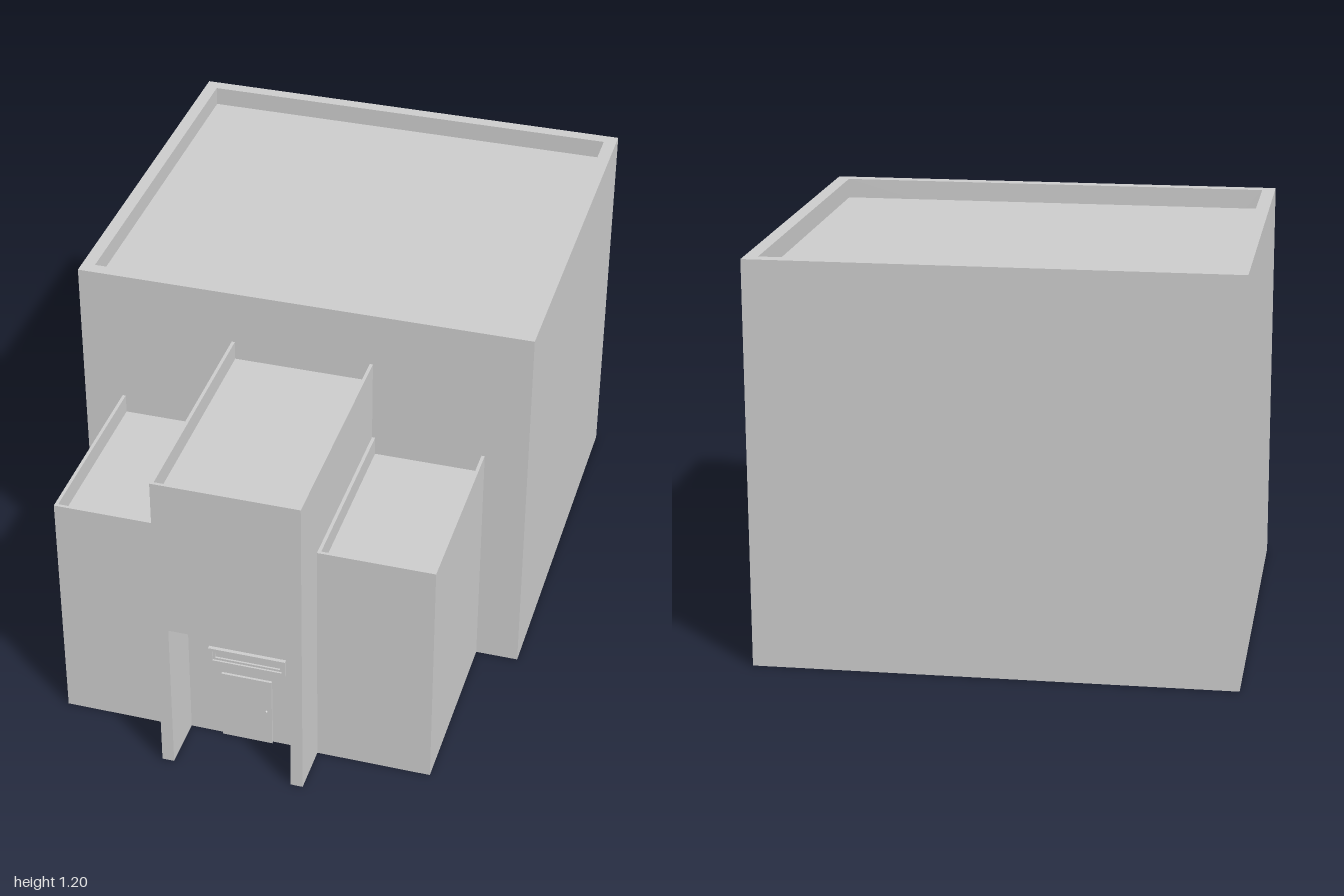
import * as THREE from 'three';

const material = new THREE.MeshStandardMaterial({ color: 0xcccccc, flatShading: true, side: THREE.DoubleSide });

// Box given by its limits on each axis
function box(parent, name, x0, x1, y0, y1, z0, z1) {
  const mesh = new THREE.Mesh(new THREE.BoxGeometry(x1 - x0, y1 - y0, z1 - z0), material);
  mesh.position.set((x0 + x1) / 2, (y0 + y1) / 2, (z0 + z1) / 2);
  mesh.name = name;
  parent.add(mesh);
  return mesh;
}

function rectangle(Type, x0, x1, y0, y1) {
  return new Type([[x0, y0], [x1, y0], [x1, y1], [x0, y1]].map(p => new THREE.Vector2(...p)));
}

// Rectangular frame standing in the xy plane
function frame(parent, name, outer, inner, z0, depth) {
  const shape = rectangle(THREE.Shape, ...outer);
  shape.holes.push(rectangle(THREE.Path, ...inner));
  const mesh = new THREE.Mesh(new THREE.ExtrudeGeometry(shape, { depth, bevelEnabled: false }), material);
  mesh.position.z = z0;
  mesh.name = name;
  parent.add(mesh);
}

function group(parent, name) {
  const g = new THREE.Group();
  g.name = name;
  parent.add(g);
  return g;
}

const FRONT = 0.255;   // front face of the main hall
const PARAPET = 0.06;  // height of the parapet above each roof
const SKIN = 0.01;     // wall thickness of the front blocks

export function createModel() {
  const model = new THREE.Group();
  model.name = 'building';

  // Main hall: open-bottomed walls with a sunken roof
  const hall = group(model, 'mainHall');
  const hw = 0.7025, top = 1.2, t = 0.04;
  for (const s of [-1, 1]) {
    const [a, b] = s < 0 ? [-hw, -hw + t] : [hw - t, hw];
    box(hall, 'sideWall', a, b, 0, top, -1, FRONT);
  }
  box(hall, 'backWall', -hw + t, hw - t, 0, top, -1, -1 + t);
  box(hall, 'roof', -hw + t, hw - t, top - PARAPET - 0.02, top - PARAPET, -1 + t, FRONT - t);

  // Front wall with shallow bays behind the three front blocks
  const wall = rectangle(THREE.Shape, -hw + t, hw - t, 0, top);
  for (const [x0, x1, h] of [[-0.57, -0.23, 0.68], [-0.21, 0.21, 0.95], [0.23, 0.56, 0.68]]) {
    wall.holes.push(rectangle(THREE.Path, x0, x1, 0.001, h));
  }
  const frontWall = new THREE.Mesh(new THREE.ExtrudeGeometry(wall, { depth: t, bevelEnabled: false }), material);
  frontWall.position.z = FRONT - t;
  frontWall.name = 'frontWall';
  hall.add(frontWall);

  // Side blocks
  for (const [name, x0, x1, outer] of [['rightBlock', -0.58, -0.22, -1], ['leftBlock', 0.22, 0.57, 1]]) {
    const g = group(model, name);
    const h = 0.765, z1 = 0.845;
    box(g, 'innerWall', outer < 0 ? x1 - SKIN : x0, outer < 0 ? x1 : x0 + SKIN, 0, h, FRONT, z1 - SKIN);
    box(g, 'outerWall', outer < 0 ? x0 : x1 - SKIN, outer < 0 ? x0 + SKIN : x1, 0, h, FRONT, z1 - SKIN);
    box(g, 'frontWall', x0, x1, 0, h, z1 - SKIN, z1);
    box(g, 'roof', x0 + SKIN, x1 - SKIN, h - PARAPET - SKIN, h - PARAPET, FRONT, z1 - SKIN);
    box(g, 'backPanel', x0 + SKIN, x1 - SKIN, 0, h - PARAPET - SKIN, FRONT, FRONT + 0.005);
  }

  // Central entrance block with a recessed porch
  const entry = group(model, 'entranceBlock');
  const w = 0.22, h = 1.03, porchW = 0.183, porchH = 0.508, porchZ = 0.835;
  for (const s of [-1, 1]) {
    const [a, b] = s < 0 ? [-w, -w + SKIN] : [w - SKIN, w];
    box(entry, 'sideWall', a, b, 0, h, FRONT, 1 - SKIN);
    const [c, d] = s < 0 ? [-w + SKIN, -porchW] : [porchW, w - SKIN];
    box(entry, 'porchPier', c, d, 0, porchH, porchZ - SKIN, 1 - SKIN);
    const [e, f] = s < 0 ? [-w, -porchW] : [porchW, w];
    box(entry, 'pierFace', e, f, 0, porchH, 1 - SKIN, 1);
  }
  box(entry, 'frontWall', -w, w, porchH, h, 1 - SKIN, 1);
  box(entry, 'porchCeiling', -w + SKIN, w - SKIN, porchH, porchH + SKIN, porchZ - SKIN, 1 - SKIN);
  box(entry, 'porchWall', -porchW, porchW, 0, porchH, porchZ - SKIN, porchZ);
  box(entry, 'roof', -w + SKIN, w - SKIN, h - PARAPET - SKIN, h - PARAPET, FRONT, 1 - SKIN);
  box(entry, 'backPanel', -w + SKIN, w - SKIN, 0, h - PARAPET - SKIN, FRONT, FRONT + 0.005);

  // Door and knob
  box(entry, 'door', -0.08, 0.077, 0, 0.24, porchZ - 0.03, porchZ + 0.008);
  const knob = new THREE.Mesh(new THREE.SphereGeometry(0.004, 10, 8), material);
  knob.position.set(0.06, 0.124, porchZ + 0.01);
  knob.name = 'doorKnob';
  entry.add(knob);

  // Slot window with two nested frames
  frame(entry, 'windowFrame', [-0.118, 0.121, 0.278, 0.333], [-0.105, 0.111, 0.289, 0.323], porchZ, 0.012);
  frame(entry, 'windowSash', [-0.105, 0.111, 0.289, 0.323], [-0.098, 0.104, 0.296, 0.316], porchZ, 0.006);
  return model;
}
